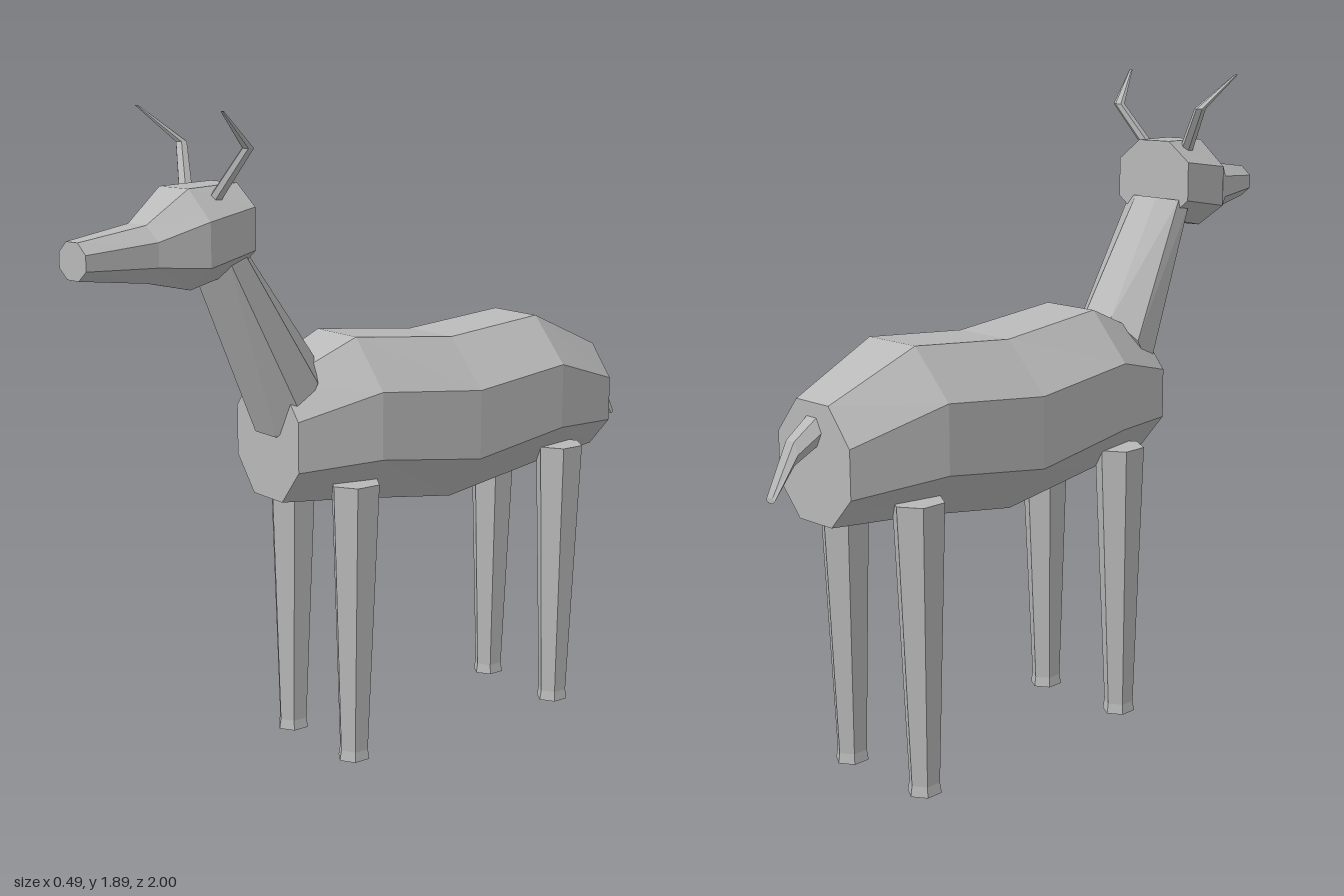
import * as THREE from 'three';

const coat = new THREE.MeshStandardMaterial({ color: 0xb8b8b8, flatShading: true });
coat.name = 'grey coat';

// Faceted skin over equal-length rings of points, capped at both ends
function loft(name, rings) {
  const pos = [];
  const tri = (...pts) => pts.forEach((p) => pos.push(...p));
  const n = rings[0].length;
  for (let r = 0; r < rings.length - 1; r++) {
    const a = rings[r], b = rings[r + 1];
    for (let i = 0; i < n; i++) {
      const j = (i + 1) % n;
      tri(a[i], a[j], b[j]);
      tri(a[i], b[j], b[i]);
    }
  }
  const first = rings[0], last = rings[rings.length - 1];
  for (let i = 1; i < n - 1; i++) {
    tri(first[0], first[i + 1], first[i]);
    tri(last[0], last[i], last[i + 1]);
  }
  const geo = new THREE.BufferGeometry();
  geo.setAttribute('position', new THREE.Float32BufferAttribute(pos, 3));
  geo.computeVertexNormals();
  const mesh = new THREE.Mesh(geo, coat);
  mesh.name = name;
  return mesh;
}

// Regular ring around a centre, spanned by the vectors u and v
function ring(c, u, v, sides, turn = 0) {
  return Array.from({ length: sides }, (_, i) => {
    const a = turn + (i / sides) * Math.PI * 2;
    return c.map((k, m) => k + u[m] * Math.cos(a) + v[m] * Math.sin(a));
  });
}

// Eight-cornered upright section: half width, half flat, four heights, yaw
function octagon(cx, cz, w, f, [bottom, low, high, top], yaw = 0) {
  return [[w, low], [w, high], [f, top], [-f, top], [-w, high], [-w, low], [-f, bottom], [f, bottom]]
    .map(([x, y]) => [cx + x * Math.cos(yaw), y, cz - x * Math.sin(yaw)]);
}

export function createModel() {
  const model = new THREE.Group();
  model.name = 'deer';

  // Sway-backed trunk
  model.add(loft('body', [
    [-0.875, 0.146, 0.065, [0.785, 0.875, 1.01, 1.11]],
    [-0.6, 0.22, 0.092, [0.765, 0.9, 1.095, 1.23]],
    [-0.26, 0.235, 0.097, [0.715, 0.855, 1.06, 1.2]],
    [0.09, 0.218, 0.092, [0.762, 0.9, 1.095, 1.235]],
    [0.335, 0.152, 0.07, [0.785, 0.885, 1.03, 1.13]],
  ].map(([z, w, f, ys]) => octagon(-0.015, z, w, f, ys))));

  // Neck leaning forward out of the chest
  const k = 1 / Math.cos(Math.PI / 8);
  model.add(loft('neck', [
    ring([-0.015, 1.08, 0.275], [0.126 * k, 0, 0], [0, 0.11 * k, -0.065 * k], 8, Math.PI / 8),
    ring([0.02, 1.51, 0.522], [0.1 * k, 0, 0], [0, 0.012 * k, -0.062 * k], 8, Math.PI / 8),
  ]));

  // Head turned slightly to its left
  model.add(loft('head', [
    [0.01, 0.483, 0.122, 0.052, [1.455, 1.515, 1.63, 1.69]],
    [0.035, 0.655, 0.142, 0.058, [1.42, 1.485, 1.605, 1.685]],
    [0.064, 0.785, 0.084, 0.036, [1.45, 1.495, 1.56, 1.6]],
    [0.093, 0.99, 0.054, 0.023, [1.475, 1.502, 1.543, 1.572]],
  ].map(([x, z, w, f, ys]) => octagon(x, z, w, f, ys, 0.16))));

  // Horns bending back and then forward
  for (const [side, s] of [['left', 1], ['right', -1]]) {
    model.add(loft(side + 'Horn', [
      [0.065, 1.645, 0.572, 0.021],
      [0.162, 1.79, 0.524, 0.017],
      [0.21, 1.888, 0.632, 0.005],
    ].map(([x, y, z, r]) => ring([0.028 + s * x, y, z], [0, 0, r], [r, 0, 0], 6))));
  }

  // Tapered six-sided legs with slightly flared feet
  for (const [end, topZ, footZ] of [['front', 0.14, 0.147], ['back', -0.652, -0.647]]) {
    for (const [side, x] of [['Left', 0.14], ['Right', -0.168]]) {
      model.add(loft(end + side + 'Leg', [
        [0, 0.051, footZ], [0.03, 0.046, footZ], [0.83, 0.077, topZ],
      ].map(([y, r, z]) => ring([x, y, z], [0, 0, r], [r * 0.93, 0, 0], 6))));
    }
  }

  // Short drooping tail
  model.add(loft('tail', [
    [-0.012, 1.04, -0.865, 0.04, 0.045],
    [-0.002, 0.985, -0.94, 0.032, 0.036],
    [0.01, 0.867, -1, 0.018, 0.008],
  ].map(([x, y, z, w, h]) => ring([x, y, z], [-w, 0, 0], [0, h, 0], 6))));

  return model;
}
